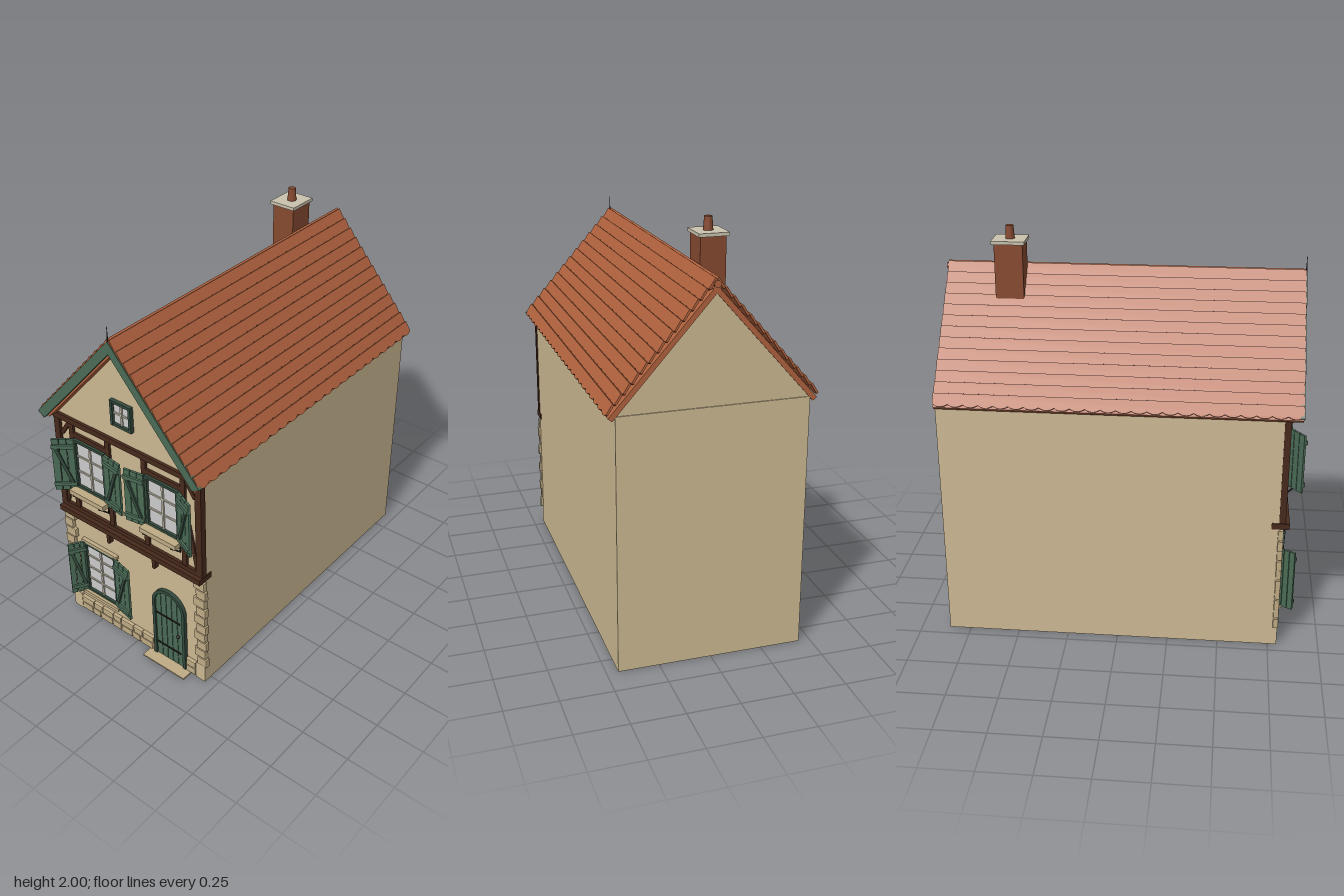
import * as THREE from 'three';

const mats = {};
const mat = (c) => (mats[c] ??= new THREE.MeshStandardMaterial({ color: c }));
const PLASTER = 0xcdb993, TIMBER = 0x47291c, GREEN = 0x4a6b55, DARKGREEN = 0x33493c, STONE = 0xbfab84,
  TILE = 0xb0623e, BRICK = 0x86492f, GLASS = 0xc4c6c8, IRON = 0x26221f, PALE = 0xc9c2ae;

function add(parent, name, geo, color, x = 0, y = 0, z = 0) {
  const m = new THREE.Mesh(geo, mat(color));
  m.name = name;
  m.position.set(x, y, z);
  parent.add(m);
  return m;
}
function group(parent, name, x = 0, y = 0, z = 0) {
  const g = new THREE.Group();
  g.name = name;
  g.position.set(x, y, z);
  parent.add(g);
  return g;
}
// Box given by its limits
function block(parent, name, color, x0, x1, y0, y1, z0, z1) {
  return add(parent, name, new THREE.BoxGeometry(x1 - x0, y1 - y0, z1 - z0), color,
    (x0 + x1) / 2, (y0 + y1) / 2, (z0 + z1) / 2);
}
// Straight bar between two points of the front plane
function bar(parent, name, color, x0, y0, x1, y1, w, z0, z1) {
  const len = Math.hypot(x1 - x0, y1 - y0);
  const m = add(parent, name, new THREE.BoxGeometry(len, w, z1 - z0), color, (x0 + x1) / 2, (y0 + y1) / 2, (z0 + z1) / 2);
  m.rotation.z = Math.atan2(y1 - y0, x1 - x0);
  return m;
}
const polygon = (pts) => new THREE.Shape(pts.map((p) => new THREE.Vector2(...p)));
const extrude = (shape, depth, curveSegments = 12) =>
  new THREE.ExtrudeGeometry(shape, { depth, bevelEnabled: false, curveSegments });

// Framed window with cols x rows panes
function windowUnit(parent, name, x0, x1, y0, y1, z, cols, rows) {
  const g = group(parent, name), f = 0.014;
  block(g, 'glass', GLASS, x0, x1, y0, y1, z - 0.01, z + 0.004);
  for (const x of [x0, x1]) block(g, 'jamb', DARKGREEN, x - f / 2, x + f / 2, y0 - f / 2, y1 + f / 2, z - 0.01, z + 0.018);
  for (const y of [y0, y1]) block(g, 'rail', DARKGREEN, x0, x1, y - f / 2, y + f / 2, z - 0.01, z + 0.017);
  for (let i = 1; i < cols; i++) {
    const x = x0 + ((x1 - x0) * i) / cols;
    block(g, 'mullion', PALE, x - 0.005, x + 0.005, y0, y1, z, z + 0.012);
  }
  for (let i = 1; i < rows; i++) {
    const y = y0 + ((y1 - y0) * i) / rows;
    block(g, 'glazingBar', PALE, x0, x1, y - 0.004, y + 0.004, z, z + 0.01);
  }
}

// Plank shutter hinged at x, swung open by an angle; dir is the side it opens to
function shutter(parent, x, y0, y1, z, dir, w, angle) {
  const g = group(parent, 'shutter', x, 0, z), n = 3, h = y1 - y0;
  for (let i = 0; i < n; i++) {
    add(g, 'plank', new THREE.BoxGeometry(w / n - 0.003, h, 0.012), GREEN, dir * w * (i + 0.5) / n, (y0 + y1) / 2, 0);
  }
  const lo = y0 + h * 0.13, hi = y1 - h * 0.13;
  for (const y of [lo, hi]) add(g, 'batten', new THREE.BoxGeometry(w, 0.02, 0.012), GREEN, dir * w / 2, y, 0.01);
  bar(g, 'brace', DARKGREEN, dir * w * 0.15, lo, dir * w * 0.85, hi, 0.016, 0.005, 0.015);
  g.rotation.y = -dir * angle;
}

function buildWalls(house) {
  const walls = polygon([[-0.445, -0.78], [0.445, -0.78], [0.445, 0.857], [-0.445, 0.857]]);
  walls.holes.push(polygon([[-0.4, -0.735], [-0.4, 0.81], [0.4, 0.81], [0.4, -0.735]]));
  add(house, 'walls', extrude(walls, 1.235).rotateX(-Math.PI / 2), PLASTER);
  block(house, 'ceiling', PLASTER, -0.44, 0.44, 1.2, 1.23, -0.85, 0.77);
  block(house, 'partition', 0xb08c6c, -0.4, 0.4, 0.005, 1.2, 0.26, 0.29);
  block(house, 'groundFloor', 0x6b5848, -0.4, 0.4, 0.005, 0.02, 0.28, 0.74);
  block(house, 'upperFrontWall', PLASTER, -0.44, 0.44, 0.68, 1.235, 0.77, 0.79);
  const gable = polygon([[-0.445, 1.23], [0.445, 1.23], [0, 1.735]]);
  add(house, 'frontGable', extrude(gable, 0.03), PLASTER, 0, 0, 0.765);
  add(house, 'backGable', extrude(gable, 0.03), PLASTER, 0, 0, -0.852);
}

function buildRoof(house) {
  const roof = group(house, 'roof'), run = 0.485, rise = 0.55, len = Math.hypot(run, rise);
  const rows = 13, tiles = 24, depth = 1.715, tw = depth / tiles, step = len / rows;
  // One course of tiles with a scalloped lower edge
  const s = new THREE.Shape();
  s.moveTo(-depth / 2, step * 1.15);
  s.lineTo(-depth / 2, 0.012);
  for (let i = 0; i < tiles; i++) {
    const x = -depth / 2 + i * tw;
    s.quadraticCurveTo(x + tw / 2, -0.012, x + tw, 0.012);
  }
  s.lineTo(depth / 2, step * 1.15);
  const course = extrude(s, 0.01, 5);
  for (const turn of [0, Math.PI]) {
    const half = group(roof, 'roofHalf');
    half.rotation.y = turn;
    // Slope frame: x along the eaves, y up the slope, z outwards
    const slope = group(half, 'slope', run - 0.008, 1.23, 0);
    const up = new THREE.Vector3(-run, rise, 0).normalize(), out = new THREE.Vector3(rise, run, 0).normalize();
    slope.quaternion.setFromRotationMatrix(new THREE.Matrix4().makeBasis(new THREE.Vector3(0, 0, -1), up, out));
    block(slope, 'roofDeck', TILE, -depth / 2, depth / 2, 0, len - 0.01, -0.024, 0);
    for (let r = 0; r < rows; r++) {
      const c = add(slope, 'tileCourse', course, TILE, 0, r * step, 0.007);
      c.rotation.x = 0.16;
    }
  }
  const ridge = add(roof, 'ridgeTiles', new THREE.CylinderGeometry(0.016, 0.016, 1.725, 12), TILE, 0, 1.776, -0.003);
  ridge.rotation.x = Math.PI / 2;
  // Green barge boards on the front gable
  for (const s of [-1, 1]) {
    const b = polygon([[0, 1.795], [s * 0.49, 1.245], [s * 0.45, 1.222], [0, 1.732]]);
    add(roof, 'bargeBoard', extrude(b, 0.02), GREEN, 0, 0, 0.842);
    bar(roof, 'gableTrim', TILE, s * 0.44, 1.23, 0, 1.73, 0.016, 0.79, 0.845);
  }
  add(roof, 'finial', new THREE.CylinderGeometry(0.001, 0.004, 0.09, 8), IRON, 0, 1.82, 0.857);
  // Chimney
  const ch = group(roof, 'chimney', -0.07, 0, -0.54);
  block(ch, 'stack', BRICK, -0.061, 0.059, 1.55, 1.925, -0.068, 0.068);
  block(ch, 'cap', PALE, -0.073, 0.069, 1.922, 1.938, -0.079, 0.079);
  add(ch, 'pot', new THREE.CylinderGeometry(0.018, 0.023, 0.065, 16), BRICK, 0, 1.9675, 0);
}

function buildTimberFrame(house) {
  const g = group(house, 'timberFrame'), z0 = 0.775, z1 = 0.803;
  block(g, 'topPlate', TIMBER, -0.45, 0.45, 1.205, 1.235, z0, 0.81);
  block(g, 'sillBeam', TIMBER, -0.45, 0.45, 0.685, 0.708, z0, 0.806);
  block(g, 'jettyBeam', TIMBER, -0.45, 0.45, 0.652, 0.682, 0.74, 0.825);
  for (const s of [-1, 1]) {
    block(g, 'cornerPost', TIMBER, s * 0.4325 - 0.0175, s * 0.4325 + 0.0175, 0.7, 1.21, z0, z1 + 0.003);
    for (const x of [0.112, 0.342]) block(g, 'post', TIMBER, s * x - 0.014, s * x + 0.014, 0.7, 1.21, z0, z1);
    block(g, 'lintel', TIMBER, s * 0.227 - 0.12, s * 0.227 + 0.12, 1.13, 1.155, z0, z1);
    block(g, 'rail', TIMBER, s * 0.227 - 0.115, s * 0.227 + 0.115, 0.825, 0.85, z0, z1);
    bar(g, 'brace', TIMBER, s * 0.415, 0.71, s * 0.36, 1.0, 0.02, z0, z1 - 0.003);
    bar(g, 'upperBrace', TIMBER, s * 0.41, 1.12, s * 0.35, 1.21, 0.02, z0, z1 - 0.003);
    block(g, 'corbel', TIMBER, s * 0.147 - 0.01, s * 0.147 + 0.01, 0.585, 0.655, 0.775, 0.805);
    const tip = add(g, 'corbelEnd', new THREE.CylinderGeometry(0.01, 0.01, 0.03, 12), TIMBER, s * 0.147, 0.585, 0.79);
    tip.rotation.x = Math.PI / 2;
  }
}

function buildWindows(house) {
  const g = group(house, 'windows');
  windowUnit(g, 'gableWindow', -0.055, 0.055, 1.33, 1.45, 0.797, 2, 2);
  for (const s of [-1, 1]) {
    const c = s * 0.225;
    windowUnit(g, 'upperWindow', c - 0.093, c + 0.093, 0.855, 1.12, 0.797, 2, 3);
    block(g, 'windowSill', STONE, c - 0.11, c + 0.11, 0.822, 0.848, 0.79, 0.855);
    for (const k of [-1, 1]) {
      const x = c + k * 0.085;
      block(g, 'ironUpright', IRON, x - 0.003, x + 0.003, 0.76, 0.825, 0.79, 0.796);
      const strut = add(g, 'ironStrut', new THREE.BoxGeometry(0.006, 0.09, 0.006), IRON, x, 0.793, 0.825);
      strut.rotation.x = 0.82;
    }
  }
  shutter(g, -0.322, 0.83, 1.125, 0.808, -1, 0.11, 0.65);
  shutter(g, -0.124, 0.83, 1.125, 0.812, 1, 0.11, 0.12);
  shutter(g, 0.122, 0.83, 1.125, 0.812, -1, 0.11, 0.15);
  shutter(g, 0.322, 0.83, 1.125, 0.808, 1, 0.112, 0.4);

  windowUnit(g, 'groundWindow', -0.325, -0.125, 0.175, 0.48, 0.783, 2, 4);
  block(g, 'stoneLintel', STONE, -0.345, -0.11, 0.484, 0.5, 0.775, 0.8);
  block(g, 'stoneSill', STONE, -0.35, -0.105, 0.15, 0.17, 0.775, 0.815);
  shutter(g, -0.332, 0.165, 0.485, 0.79, -1, 0.09, 1.02);
  shutter(g, -0.12, 0.165, 0.485, 0.8, 1, 0.117, 0.2);
}

// Arch outline standing on y = 0
function arch(path, r, h) {
  path.moveTo(-r, 0).lineTo(r, 0).lineTo(r, h).absarc(0, h, r, 0, Math.PI, false).lineTo(-r, 0);
  return path;
}

function buildDoor(house) {
  const g = group(house, 'door', 0.222, 0, 0.77), r = 0.085, spring = 0.36;
  const frame = arch(new THREE.Shape(), 0.102, spring);
  frame.holes.push(arch(new THREE.Path(), r, spring));
  add(g, 'doorFrame', extrude(frame, 0.03), DARKGREEN);
  add(g, 'doorPanel', extrude(arch(new THREE.Shape(), r, spring), 0.015), DARKGREEN);
  for (let i = 0; i < 5; i++) {
    const a = -r + (2 * r * i) / 5 + 0.0015, b = a + (2 * r) / 5 - 0.003;
    const top = (x) => spring + Math.sqrt(Math.max(0, r * r - x * x));
    const m = (a + b) / 2;
    add(g, 'doorPlank', extrude(polygon([[a, 0], [b, 0], [b, top(b)], [m, top(m)], [a, top(a)]]), 0.022), GREEN);
  }
  for (const y of [0.09, 0.288]) block(g, 'strapHinge', IRON, -0.082, 0.07, y - 0.004, y + 0.004, 0.02, 0.026);
  add(g, 'doorKnob', new THREE.SphereGeometry(0.009, 12, 8), IRON, 0.06, 0.205, 0.03);
  block(house, 'doorStep', STONE, 0.09, 0.355, 0, 0.008, 0.76, 0.852);
}

// Rounded stone: a box with a bevelled face
function stone(parent, x0, x1, y0, y1) {
  const b = 0.005;
  const shape = polygon([[x0 + b, y0 + b], [x1 - b, y0 + b], [x1 - b, y1 - b], [x0 + b, y1 - b]]);
  const geo = new THREE.ExtrudeGeometry(shape, { depth: 0.017, bevelSize: b, bevelThickness: b, bevelSegments: 2 });
  add(parent, 'stone', geo, STONE, 0, 0, 0.777);
}

function buildStonework(house) {
  const g = group(house, 'stonework');
  for (const s of [-1, 1]) {
    for (let i = 0; i < 10; i++) {
      const inner = i % 2 ? 0.385 : 0.4, y = 0.1 + i * 0.0545, outer = i % 2 ? 0.452 : 0.458;
      stone(g, Math.min(s * inner, s * outer), Math.max(s * inner, s * outer), y + 0.002, y + 0.052);
    }
    block(g, 'cornerPlinth', PLASTER, s * 0.4165 - 0.0285, s * 0.4165 + 0.0285, 0, 0.1, 0.77, 0.795);
  }
  // Two courses along the foot of the front wall
  for (let row = 0; row < 2; row++) {
    const y = 0.008 + row * 0.042;
    let x = -0.385;
    for (let i = 0; x < 0.11; i++) {
      const end = Math.min(0.115, x + [0.075, 0.055, 0.085, 0.062][(i + row * 2) % 4]);
      if (end - x > 0.015) stone(g, x, end - 0.003, y, y + 0.039);
      x = end;
    }
    stone(g, 0.328, 0.385, y, y + 0.039);
  }
}

export function createModel() {
  const house = new THREE.Group();
  house.name = 'townHouse';
  buildWalls(house);
  buildRoof(house);
  buildTimberFrame(house);
  buildWindows(house);
  buildDoor(house);
  buildStonework(house);
  return house;
}
